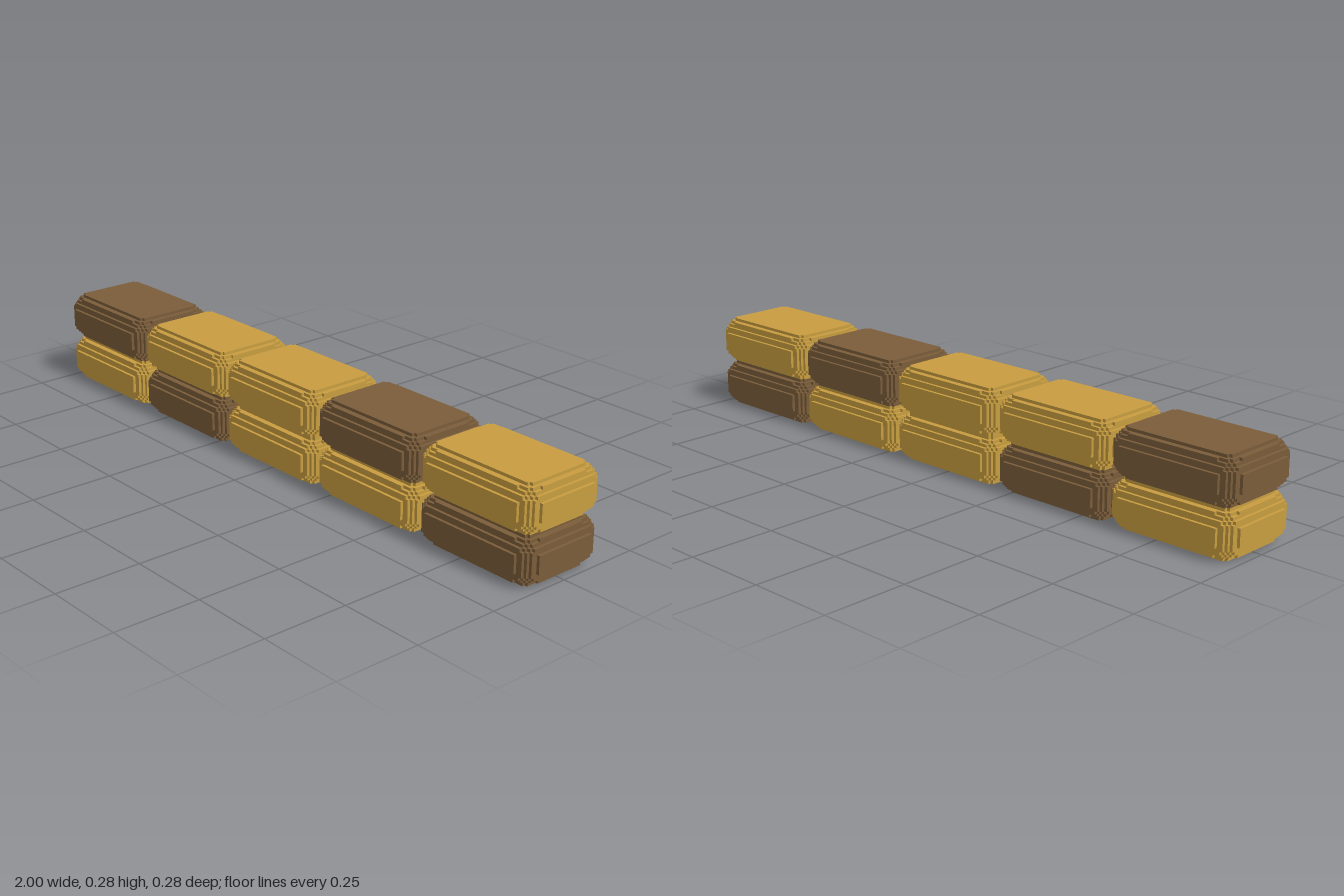
import * as THREE from 'three';

const VOXEL = 2 / 230;
const SIZE = [46, 16, 32];        // cells per block along x, y, z
const CORE = [16.2, 1.5, 9.2];    // half size of the flat core
const RADIUS = 6.6;               // edge rounding, in cells

// Is the cell inside the rounded box?
function filled(cell) {
  const q = cell.map((c, a) => Math.max(Math.abs(c + 0.5 - SIZE[a] / 2) - CORE[a], 0));
  return Math.hypot(...q) <= RADIUS;
}

// Stepped rounded block: exposed cell faces, merged into strips
function blockGeometry() {
  const positions = [];
  for (let d = 0; d < 3; d++) {
    const u = (d + 1) % 3, v = (d + 2) % 3;
    for (const sign of [1, -1]) {
      const exposed = (i, j, k) => {
        const cell = [];
        cell[d] = i; cell[u] = j; cell[v] = k;
        if (!filled(cell)) return false;
        cell[d] += sign;
        return !filled(cell);
      };
      const addStrip = (i, j0, j1, k) => {
        const corner = (j, m) => {
          const p = [];
          p[d] = i + (sign > 0 ? 1 : 0); p[u] = j; p[v] = m;
          return p.map((c, a) => (c - SIZE[a] / 2) * VOXEL);
        };
        const c = [corner(j0, k), corner(j1, k), corner(j1, k + 1), corner(j0, k + 1)];
        if (sign < 0) c.reverse();
        for (const n of [0, 1, 2, 0, 2, 3]) positions.push(...c[n]);
      };
      for (let i = 0; i < SIZE[d]; i++) {
        for (let k = 0; k < SIZE[v]; k++) {
          let start = -1;
          for (let j = 0; j <= SIZE[u]; j++) {
            const on = j < SIZE[u] && exposed(i, j, k);
            if (on && start < 0) start = j;
            if (!on && start >= 0) {
              addStrip(i, start, j, k);
              start = -1;
            }
          }
        }
      }
    }
  }
  const geometry = new THREE.BufferGeometry();
  geometry.setAttribute('position', new THREE.Float32BufferAttribute(positions, 3));
  geometry.computeVertexNormals();
  return geometry;
}

export function createModel() {
  const gold = new THREE.MeshStandardMaterial({ name: 'gold', color: 0xc89d40 });
  const brown = new THREE.MeshStandardMaterial({ name: 'brown', color: 0x7a5d3a });
  const geometry = blockGeometry();
  const model = new THREE.Group();
  model.name = 'blockWall';

  // Two courses of five blocks, bottom course first, from -x to +x
  ['GBGGB', 'BGGBG'].forEach((course, row) => {
    [...course].forEach((letter, column) => {
      const block = new THREE.Mesh(geometry, letter === 'G' ? gold : brown);
      block.name = `${row ? 'upper' : 'lower'}Block${column + 1}`;
      block.position.set((column - 2) * SIZE[0] * VOXEL, (row + 0.5) * SIZE[1] * VOXEL, 0);
      model.add(block);
    });
  });
  return model;
}
